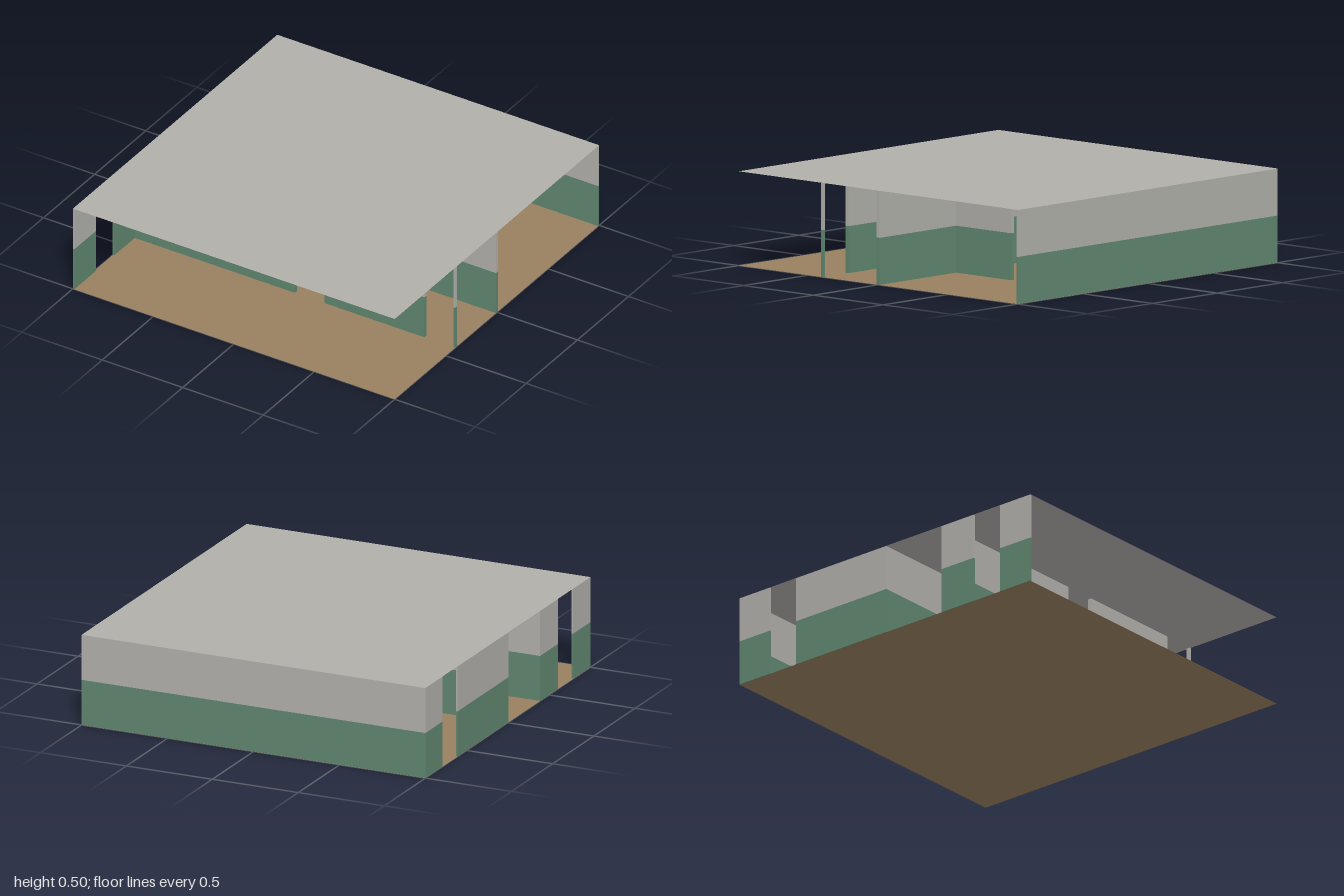
import * as THREE from 'three';

export function createModel() {
  const model = new THREE.Group();
  const material = (name, color, side = THREE.FrontSide) => {
    const m = new THREE.MeshStandardMaterial({ color, side });
    m.name = name;
    return m;
  };
  const plaster = material('grey plaster', 0xb0afaa);
  const concrete = material('grey roof', 0xb0afaa, THREE.DoubleSide);
  const paint = material('green paint', 0x5f866e);
  const earth = material('brown floor', 0x98805f, THREE.DoubleSide);

  const HEIGHT = 0.5, MID = 0.25, BASE = 0.001;

  // A wall is a green lower band and a grey upper band over the same footprint
  function addWall(name, x0, x1, z0, z1) {
    const wall = new THREE.Group();
    wall.name = name;
    const bands = [['lowerBand', BASE, MID, paint], ['upperBand', MID, HEIGHT - BASE, plaster]];
    for (const [band, y0, y1, mat] of bands) {
      const mesh = new THREE.Mesh(new THREE.BoxGeometry(x1 - x0, y1 - y0, z1 - z0), mat);
      mesh.position.set((x0 + x1) / 2, (y0 + y1) / 2, (z0 + z1) / 2);
      mesh.name = band;
      wall.add(mesh);
    }
    model.add(wall);
  }

  // Thin floor and flat roof sheets
  for (const [name, y, mat] of [['floor', 0, earth], ['roof', HEIGHT, concrete]]) {
    const sheet = new THREE.Mesh(new THREE.PlaneGeometry(2, 2).rotateX(-Math.PI / 2), mat);
    sheet.position.y = y;
    sheet.name = name;
    model.add(sheet);
  }

  // Back wall, full width
  addWall('backWall', -1, 1, -1, -0.99);

  // Right outer wall, with two doorways and the open corridor end
  for (const [z0, z1] of [[-1, -0.79], [-0.61, 0.01], [0.39, 0.61], [0.79, 1]])
    addWall('rightWall', -1, -0.99, z0, z1);

  // Corridor wall closing the back rooms
  addWall('backCorridorWall', -1, 1, -0.01, 0.01);

  // Corridor wall towards the front hall, with two doorways
  for (const [x0, x1] of [[-1, 0.005], [0.19, 0.81], [0.99, 1]])
    addWall('frontCorridorWall', x0, x1, 0.39, 0.41);

  // Partitions between the back rooms, one with a doorway
  addWall('partition', -0.21, -0.19, -1, 0);
  for (const [z0, z1] of [[-1, -0.59], [-0.405, 0]])
    addWall('doorPartition', 0.39, 0.41, z0, z1);

  return model;
}
